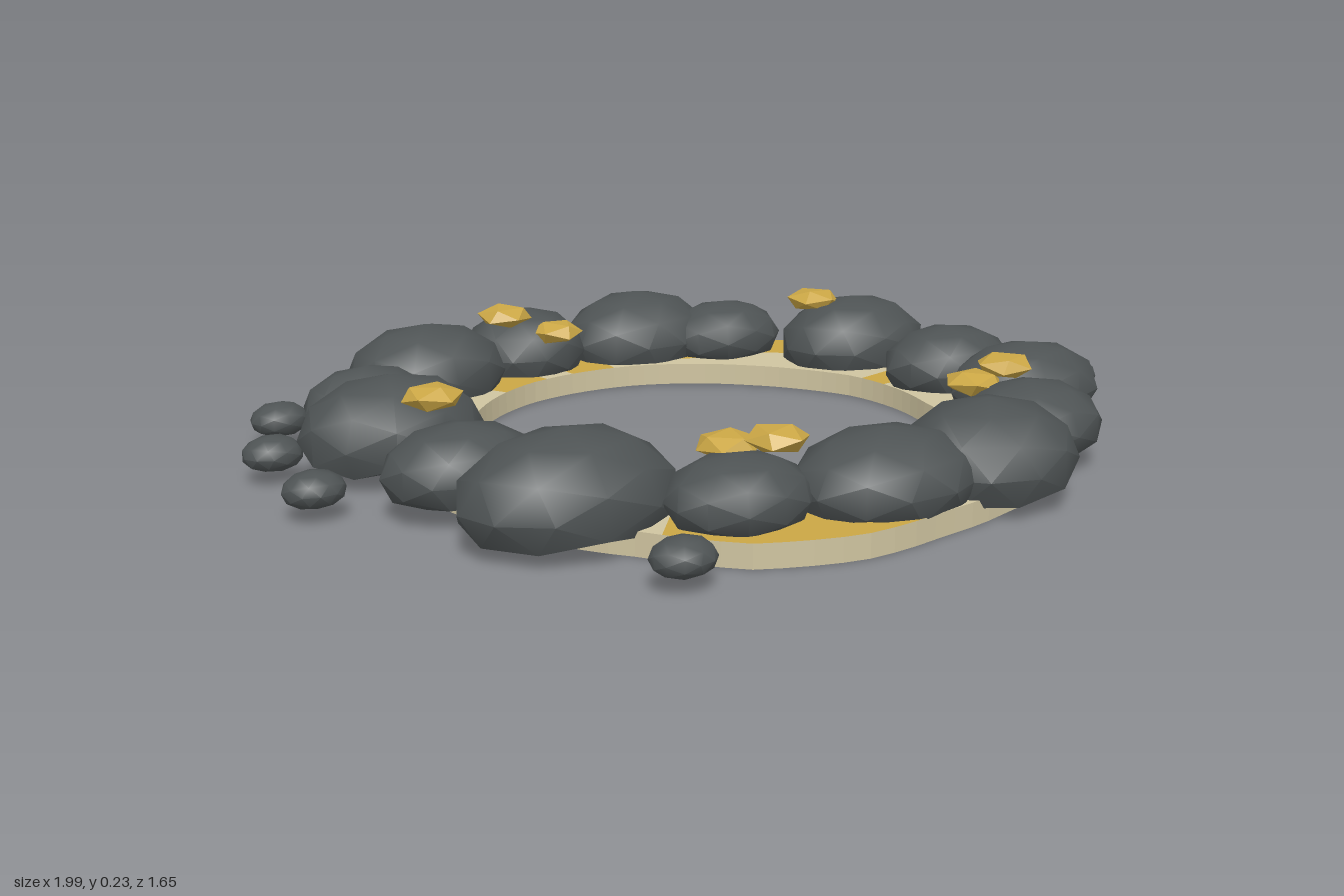
import * as THREE from 'three';
import { mergeVertices, toCreasedNormals } from 'three/addons/utils/BufferGeometryUtils.js';

const DEG = Math.PI / 180;
const TOP = 0.05;

// Radius of the outer and inner edge every 15 degrees, from +x towards +z
const OUTER = [.81, .79, .79, .8, .77, .76, .77, .815, .82, .76, .74, .71, .7, .725, .78, .84, .82, .81, .76, .75, .77, .8, .865, .85];
const INNER = [.53, .52, .53, .54, .51, .48, .47, .48, .5, .51, .49, .49, .5, .52, .53, .53, .54, .55, .55, .55, .54, .53, .53, .54];

// Gold patches: start angle, end angle, start and end across the band (0 inner, 1 outer)
const PATCHES = [
  [-12, -4, 0, 1], [44, 64, 0, .5], [92, 132, 0, 1], [156, 168, 0, 1],
  [-116, -100, 0, 1], [-92, -80, 0, 1], [-70, -48, .25, 1], [-48, -32, .5, 1],
];

// Boulders: x, z, half width, half depth, top height
const ROCKS = [
  [-.37, -.63, .19, .155, .2], [-.07, -.69, .15, .135, .19], [.24, -.66, .19, .155, .2],
  [.43, -.55, .15, .125, .17], [.65, -.3, .19, .155, .2], [.68, .02, .165, .13, .18],
  [.68, .28, .185, .145, .19], [.47, .51, .165, .145, .18], [.22, .65, .19, .17, .21],
  [-.04, .64, .2, .155, .19], [-.34, .57, .15, .13, .17], [-.6, .38, .225, .175, .22],
  [-.68, .11, .165, .13, .18], [-.67, -.21, .2, .155, .21], [-.61, -.45, .145, .105, .17],
];
const PEBBLES = [[-.78, -.54], [-.9, -.3], [-.935, -.02], [-.57, .72], [.93, .18]];

// Nuggets: x, z, centre height
const NUGGETS = [
  [-.14, -.66, .19], [-.04, -.59, .15], [.57, -.36, .195], [-.64, -.08, .19],
  [-.25, .57, .19], [-.3, .48, .165], [.5, .4, .19], [.41, .4, .165],
];

function radiusAt(table, deg) {
  const s = (((deg % 360) + 360) % 360) / 15;
  const i = Math.floor(s);
  return THREE.MathUtils.lerp(table[i % 24], table[(i + 1) % 24], s - i);
}

// Point on the band: t runs from the inner to the outer edge
function bandPoint(deg, t, y) {
  const r = THREE.MathUtils.lerp(radiusAt(INNER, deg), radiusAt(OUTER, deg), t);
  return [r * Math.cos(deg * DEG), y, r * Math.sin(deg * DEG)];
}

function quadGeometry(quads) {
  const pos = [];
  for (const [a, b, c, d] of quads) pos.push(...a, ...b, ...c, ...a, ...c, ...d);
  const g = new THREE.BufferGeometry();
  g.setAttribute('position', new THREE.Float32BufferAttribute(pos, 3));
  g.computeVertexNormals();
  return g;
}

function isGold(deg, t) {
  const d = deg > 180 ? deg - 360 : deg;
  return PATCHES.some(([a, b, t0, t1]) => d > a && d < b && t > t0 && t < t1);
}

// Rounded stone with a flat underside
function stoneGeometry(rx, ry, rz, cy, floor, detail, turn) {
  let g = new THREE.IcosahedronGeometry(1, detail);
  g.deleteAttribute('normal');
  g.deleteAttribute('uv');
  g = mergeVertices(g, 1e-4);
  g.rotateY(turn);
  g.scale(rx, ry, rz);
  const p = g.attributes.position;
  for (let i = 0; i < p.count; i++) p.setY(i, Math.max(p.getY(i) + cy, floor));
  return toCreasedNormals(g, 0.75);
}

export function createModel() {
  const model = new THREE.Group();
  const sand = new THREE.MeshStandardMaterial({ color: 0xcfc4a0, side: THREE.DoubleSide });
  sand.name = 'sand';
  const gold = new THREE.MeshStandardMaterial({ color: 0xcaa645, side: THREE.DoubleSide });
  gold.name = 'gold';
  const stone = new THREE.MeshStandardMaterial({ color: 0x4e5354 });
  stone.name = 'darkStone';
  const add = (name, geometry, material, parent = model) => {
    const mesh = new THREE.Mesh(geometry, material);
    mesh.name = name;
    parent.add(mesh);
    return mesh;
  };

  // Top of the band, split into sand and gold cells
  const cells = { sand: [], gold: [] };
  const step = 4, rows = 4;
  for (let a = 0; a < 360; a += step) {
    for (let k = 0; k < rows; k++) {
      const t0 = k / rows, t1 = (k + 1) / rows;
      const quad = [bandPoint(a, t0, TOP), bandPoint(a + step, t0, TOP), bandPoint(a + step, t1, TOP), bandPoint(a, t1, TOP)];
      cells[isGold(a + step / 2, (t0 + t1) / 2) ? 'gold' : 'sand'].push(quad.reverse());
    }
  }
  // Face the cells upwards
  for (const list of Object.values(cells)) {
    for (const q of list) {
      const [a, b, c] = q.map((v) => new THREE.Vector3(...v));
      if (b.sub(a).cross(c.sub(a)).y < 0) q.reverse();
    }
  }
  add('sandBand', quadGeometry(cells.sand), sand);
  add('goldPatches', quadGeometry(cells.gold), gold);

  // Thin inner and outer walls, open underneath
  for (const [name, t] of [['innerWall', 0], ['outerWall', 1]]) {
    const quads = [];
    for (let a = 0; a < 360; a += step) {
      const q = [bandPoint(a, t, 0), bandPoint(a, t, TOP), bandPoint(a + step, t, TOP), bandPoint(a + step, t, 0)];
      quads.push(t ? q : q.reverse());
    }
    add(name, quadGeometry(quads), sand);
  }

  // Ring of boulders
  const boulders = new THREE.Group();
  boulders.name = 'boulders';
  model.add(boulders);
  ROCKS.forEach(([x, z, rx, rz, top], i) => {
    const cy = 0.09;
    add('boulder', stoneGeometry(rx * 1.02, top - cy + 0.005, rz * 1.02, cy, 0.03, 1, i * 0.9), stone, boulders).position.set(x, 0, z);
  });

  // Loose pebbles outside the ring
  const pebbles = new THREE.Group();
  pebbles.name = 'pebbles';
  model.add(pebbles);
  PEBBLES.forEach(([x, z], i) => {
    add('pebble', stoneGeometry(0.066, 0.04, 0.057, 0.06, 0.03, 1, i * 0.7), stone, pebbles).position.set(x, 0, z);
  });

  // Faceted nuggets resting on the boulders
  const nuggets = new THREE.Group();
  nuggets.name = 'goldNuggets';
  model.add(nuggets);
  const nugget = new THREE.IcosahedronGeometry(1, 0);
  nugget.rotateX(Math.atan(0.618));
  nugget.scale(0.068, 0.028, 0.066);
  nugget.computeVertexNormals();
  NUGGETS.forEach(([x, z, y], i) => {
    const mesh = add('nugget', nugget, gold, nuggets);
    mesh.position.set(x, y, z);
    mesh.rotation.y = i * 1.1;
  });
  return model;
}
